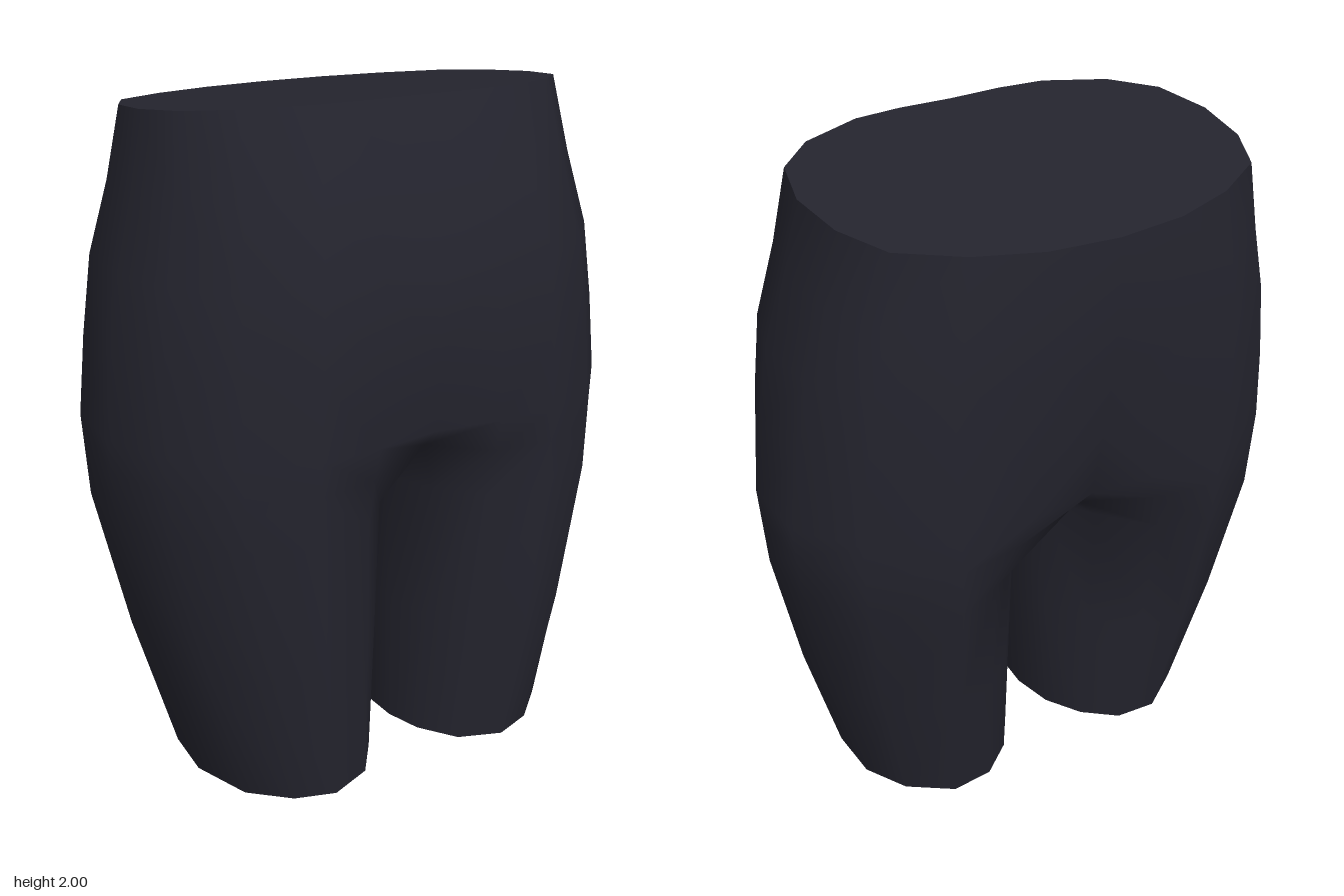
import * as THREE from 'three';
import { mergeVertices } from 'three/addons/utils/BufferGeometryUtils.js';

// Half sections for the +x side: [x, z] from front centre, round the outside, to back centre.
const waist = [[0, .355], [.16, .36], [.3, .35], [.48, .28], [.59, .17], [.63, 0], [.61, -.18], [.54, -.33], [.38, -.43], [.2, -.49], [0, -.51]];
const belly = [[0, .495], [.18, .5], [.36, .495], [.54, .39], [.68, .24], [.735, .05], [.72, -.18], [.61, -.34], [.44, -.45], [.2, -.49], [0, -.505]];
const hip = [[0, .475], [.2, .505], [.38, .51], [.57, .43], [.72, .27], [.8, .07], [.79, -.15], [.66, -.32], [.43, -.45], [.2, -.445], [0, -.42]];
// Leg sections carry on with three points down the inner thigh, closing the loop.
const thigh = [[.09, .33], [.2, .45], [.38, .505], [.57, .43], [.71, .27], [.785, .07], [.775, -.15], [.65, -.31], [.42, -.435], [.28, -.37], [.15, -.22], [.05, -.08], [.015, .04], [.03, .18]];
const hem = [[.09, .28], [.17, .39], [.3, .44], [.42, .4], [.53, .3], [.595, .12], [.585, -.05], [.51, -.18], [.38, -.27], [.25, -.26], [.15, -.18], [.08, -.07], [.05, .06], [.055, .17]];

const ring = (section, height) => section.map(([x, z]) => new THREE.Vector3(x, typeof height === 'function' ? height(z) : height, z));
// Ring between two others, optionally fuller in x and z
const blend = (a, b, t, sx = 1, sz = 1) => a.map((p, i) => p.clone().lerp(b[i], t).multiply(new THREE.Vector3(sx, 1, sz)));

// Collects triangles together with their mirror images across x = 0.
function mirroredSurface(fill) {
  const pos = [];
  const tri = (a, b, c) => {
    for (const p of [a, b, c]) pos.push(p.x, p.y, p.z);
    for (const p of [a, c, b]) pos.push(p.x ? -p.x : 0, p.y, p.z);
  };
  fill(tri);
  let g = new THREE.BufferGeometry();
  g.setAttribute('position', new THREE.Float32BufferAttribute(pos, 3));
  g = mergeVertices(g, 1e-4);
  g.computeVertexNormals();
  return g;
}

// Joins successive rings, listed from top to bottom.
function skin(tri, rings, closed) {
  for (let r = 0; r + 1 < rings.length; r++) {
    const a = rings[r], b = rings[r + 1], n = a.length;
    for (let j = 0; j < (closed ? n : n - 1); j++) {
      const k = (j + 1) % n;
      tri(b[j], b[k], a[k]);
      tri(b[j], a[k], a[j]);
    }
  }
}

export function createModel() {
  const group = new THREE.Group();
  const fabric = new THREE.MeshStandardMaterial({ color: 0x24242e });
  fabric.name = 'dark navy fabric';

  const top = ring(waist, z => 1.965 + .094 * z);
  const mid = ring(belly, 1.55);
  const low = ring(hip, 1.1);
  const leg = ring(thigh, .85);
  const end = ring(hem, 0);

  // Ring at the crotch, where the centre points form the arch between the legs
  const crotch = leg.map((p, j) => j <= 10 ? p.clone().lerp(low[j], .6) : p.clone());
  const arch = { 0: [1.04, .42], 10: [1.03, -.35], 11: [.97, -.17], 12: [.94, .03], 13: [.97, .22] };
  for (const j in arch) crotch[j].set(0, arch[j][0], arch[j][1]);

  // Smooth body: hips above the arch, then the two legs
  const body = mirroredSurface(tri => {
    skin(tri, [top, blend(top, mid, .5, .985, 1.02), mid, blend(mid, low, .5, 1.005, 1.01), low, crotch.slice(0, 11)], false);
    skin(tri, [crotch, leg, blend(leg, end, .5, 1.02, 1.015), end], true);
  });

  // Tilted cap across the waist
  const waistCap = mirroredSurface(tri => {
    const c = new THREE.Vector3(0, 1.965 - .094 * .05, -.05);
    for (let j = 0; j < 10; j++) tri(c, top[j], top[j + 1]);
  });

  // Shallow lip turned in at each hem, and the flat cap inside it
  const hemCentre = new THREE.Vector3(.32, .02, .08);
  const lip = end.map(p => p.clone().lerp(hemCentre, .12).setY(.02));
  const hemLips = mirroredSurface(tri => skin(tri, [end, lip], true));
  const hemCaps = mirroredSurface(tri => {
    lip.forEach((p, j) => tri(hemCentre, lip[(j + 1) % lip.length], p));
  });

  for (const [name, geometry] of Object.entries({ shortsBody: body, waistCap, hemLips, hemCaps })) {
    const mesh = new THREE.Mesh(geometry, fabric);
    mesh.name = name;
    group.add(mesh);
  }
  return group;
}
